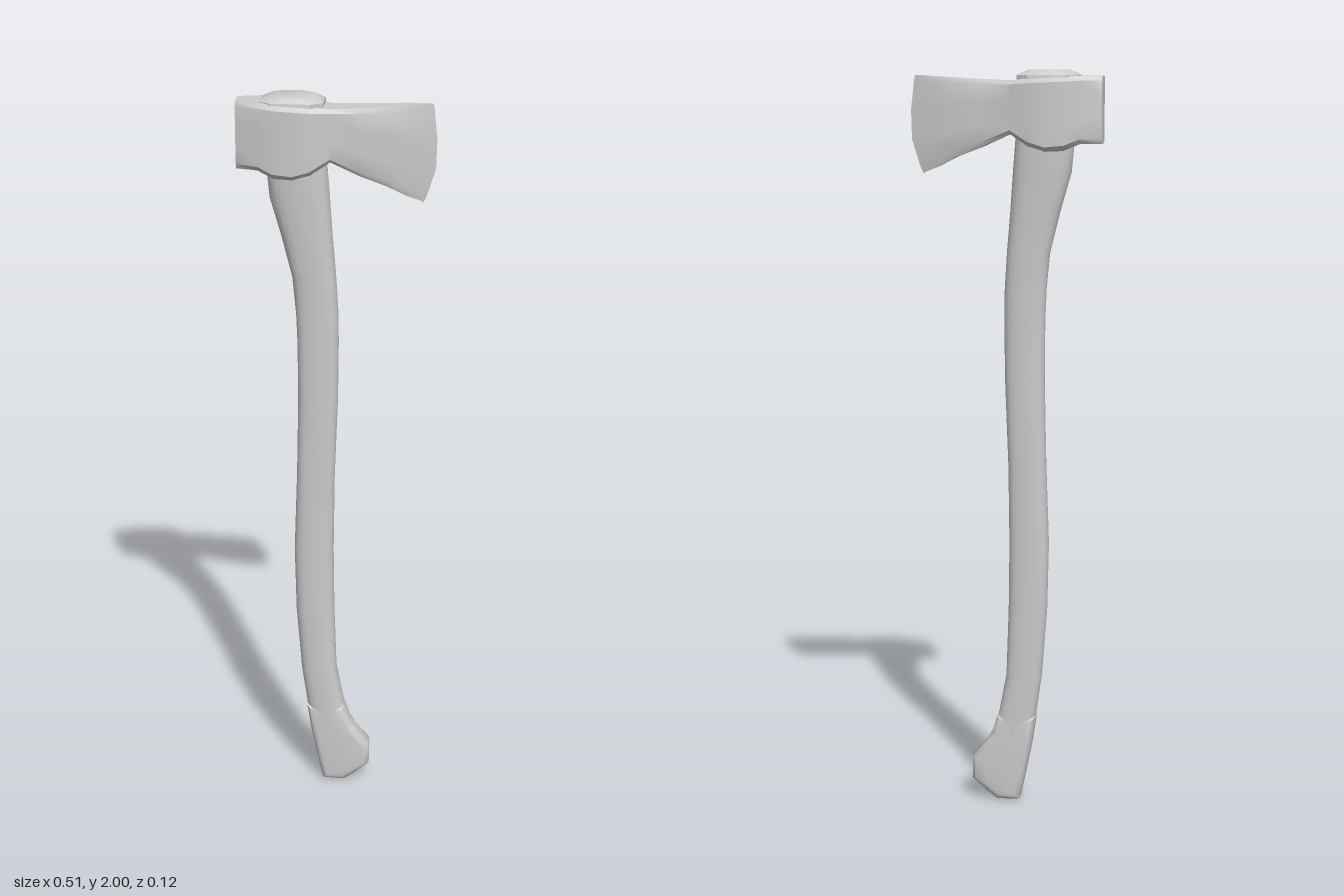
import * as THREE from 'three';
import { toCreasedNormals } from 'three/addons/utils/BufferGeometryUtils.js';

const material = new THREE.MeshStandardMaterial({ color: 0xcccccc });

// Skin a list of equal-length rings (counter-clockwise seen from the far end) and cap both ends.
function loft(rings, crease) {
  const n = rings[0].length, index = [];
  rings.forEach((ring, i) => {
    if (i === rings.length - 1) return;
    for (let j = 0; j < n; j++) {
      const a = i * n + j, b = i * n + (j + 1) % n;
      index.push(a, b, b + n, a, b + n, a + n);
    }
  });
  const last = (rings.length - 1) * n;
  for (let j = 1; j < n - 1; j++) {
    index.push(0, j + 1, j, last, last + j, last + j + 1);
  }
  const geometry = new THREE.BufferGeometry().setFromPoints(rings.flat());
  geometry.setIndex(index);
  return toCreasedNormals(geometry, crease);
}

function addPart(group, name, geometry) {
  const mesh = new THREE.Mesh(geometry, material);
  mesh.name = name;
  group.add(mesh);
}

// Rounded-rectangle ring lying flat at height y.
function handleRing(y, left, right, depth, sides = 20) {
  const round = (v) => Math.sign(v) * Math.abs(v) ** 0.72;
  return Array.from({ length: sides }, (_, j) => {
    const t = (j / sides) * Math.PI * 2;
    return new THREE.Vector3(
      (left + right) / 2 + ((right - left) / 2) * round(Math.cos(t)),
      y,
      -depth * round(Math.sin(t)));
  });
}

// Upright ring of the head; bow pushes its middle rows forward for the curved cutting edge.
function headRing([x, top, bottom, depth, topShift = 0, bottomShift = 0]) {
  const rows = [[0, 0.8], [0.07, 1], [0.35, 1], [0.65, 1], [0.93, 1], [1, 0.8]];
  const side = (sign) => rows.map(([v, w]) => {
    const shift = topShift * Math.max(0, 1 - v * 2) ** 2 + bottomShift * Math.max(0, v * 2 - 1) ** 2;
    return new THREE.Vector3(x + shift, top + (bottom - top) * v, sign * depth * w);
  });
  return [...side(1), ...side(-1).reverse()];
}

export function createModel() {
  const group = new THREE.Group();
  group.name = 'axe';

  // Curved shaft: height, back x, front x, half depth
  const shaft = [
    [0.19, -0.076, 0.035, 0.033], [0.245, -0.084, 0.02, 0.034], [0.36, -0.1, -0.002, 0.035],
    [0.55, -0.114, -0.008, 0.035], [0.73, -0.118, -0.01, 0.035], [0.95, -0.11, -0.007, 0.035],
    [1.18, -0.105, 0.002, 0.035], [1.34, -0.106, 0.004, 0.036], [1.42, -0.109, 0.003, 0.037],
    [1.52, -0.118, -0.003, 0.04], [1.63, -0.145, -0.012, 0.044], [1.735, -0.175, -0.019, 0.049],
    [1.81, -0.182, -0.025, 0.053], [1.86, -0.182, -0.03, 0.053],
  ];
  addPart(group, 'handle', loft(shaft.map((s) => handleRing(...s)), 0.9));

  // Flared knob with a lanyard hole
  const outline = [
    [-0.04, 0.005], [0.02, 0.003], [0.05, 0.025], [0.091, 0.06], [0.091, 0.125],
    [0.052, 0.17], [0.035, 0.2], [0.02, 0.245], [-0.085, 0.245], [-0.073, 0.165], [-0.055, 0.075],
  ].map(([x, y]) => new THREE.Vector2(x, y));
  const knobShape = new THREE.Shape(outline);
  const hole = new THREE.Path();
  hole.absarc(-0.008, 0.115, 0.02, 0, Math.PI * 2, true);
  knobShape.holes.push(hole);
  const knob = new THREE.ExtrudeGeometry(knobShape, {
    depth: 0.026, bevelThickness: 0.02, bevelSize: 0.018, bevelOffset: -0.018,
    bevelSegments: 4, curveSegments: 12,
  });
  knob.translate(0, 0, -0.013);
  addPart(group, 'knob', toCreasedNormals(knob, 0.8));

  // Head from poll to edge: x, top, bottom, half depth, corner shifts
  const head = [
    [-0.257, 1.985, 1.81, 0.031], [-0.2, 1.985, 1.81, 0.049], [-0.16, 1.984, 1.793, 0.062],
    [-0.11, 1.982, 1.788, 0.062], [-0.065, 1.979, 1.803, 0.062], [-0.015, 1.972, 1.835, 0.041],
    [0.06, 1.975, 1.8, 0.035], [0.13, 1.979, 1.773, 0.027],
    [0.19, 1.983, 1.747, 0.016, 0, -0.01], [0.24, 1.986, 1.733, 0.004, -0.006, -0.025],
    [0.255, 1.985, 1.728, 0.0008, -0.012, -0.034],
  ];
  addPart(group, 'axeHead', loft(head.map(headRing), 0.6));

  // Handle end showing above the eye, an elongated octagon with a domed top
  const octagon = (y, l, r, d) => [
    [r, 0.62], [r - 0.03, 1], [l + 0.03, 1], [l, 0.62],
    [l, -0.62], [l + 0.03, -1], [r - 0.03, -1], [r, -0.62],
  ].map(([x, w]) => new THREE.Vector3(x, y, -d * w));
  addPart(group, 'handleTop', loft([
    octagon(1.93, -0.195, -0.033, 0.052),
    octagon(1.987, -0.195, -0.033, 0.052),
    octagon(2, -0.167, -0.06, 0.042),
  ], 0.7));

  return group;
}
